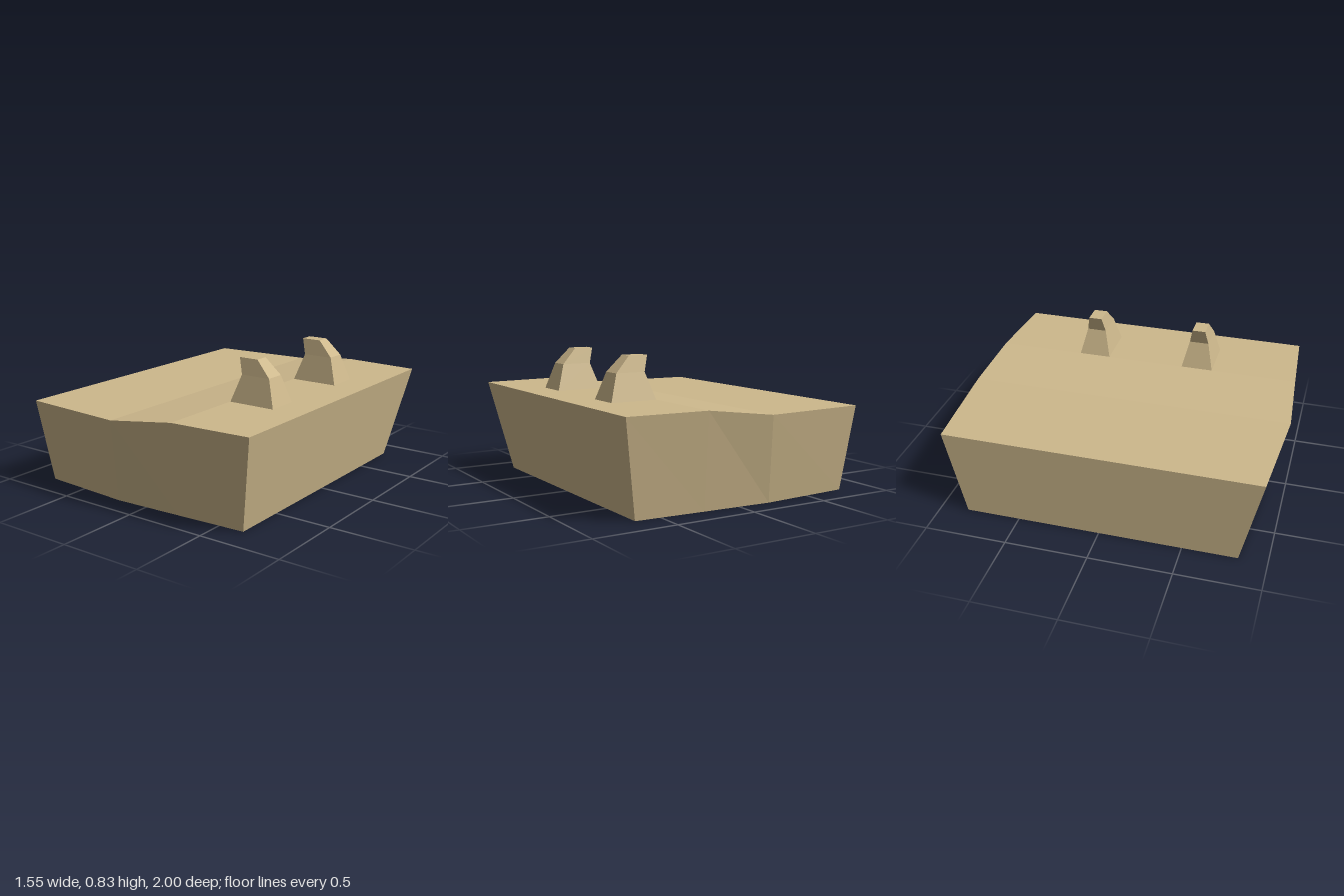
import * as THREE from 'three';

// Skin a list of rings (each counter-clockwise about the direction of travel) and cap both ends
function loft(rings) {
  const pos = [];
  const quad = (a, b, c, d) => pos.push(...a, ...b, ...c, ...a, ...c, ...d);
  for (let r = 0; r < rings.length - 1; r++) {
    const a = rings[r], b = rings[r + 1];
    for (let i = 0; i < 4; i++) {
      const j = (i + 1) % 4;
      quad(a[i], a[j], b[j], b[i]);
    }
  }
  quad(...[...rings[0]].reverse());
  quad(...rings[rings.length - 1]);
  const geometry = new THREE.BufferGeometry();
  geometry.setAttribute('position', new THREE.Float32BufferAttribute(pos, 3));
  geometry.computeVertexNormals();
  return geometry;
}

export function createModel() {
  const group = new THREE.Group();
  const material = new THREE.MeshStandardMaterial({ color: 0xcdb88c, flatShading: true });

  // Slab: sections along x as [top x, bottom x, top y, top half width, bottom half width]
  const slabRings = [
    [-0.775, -0.775, 0.53, 0.95, 0.83],
    [-0.12, -0.2, 0.53, 1.0, 0.87],
    [0.29, 0.23, 0.58, 0.972, 0.847],
    [0.775, 0.655, 0.58, 0.942, 0.822],
  ].map(([xt, xb, y, zt, zb]) => [[xb, 0, zb], [xb, 0, -zb], [xt, y, -zt], [xt, y, zt]]);
  const slab = new THREE.Mesh(loft(slabRings), material);
  slab.name = 'slab';
  group.add(slab);

  // Hooked pegs: sections going up as [y, min x, max x, half width]
  const pegRings = [
    [0.575, 0.29, 0.585, 0.1],
    [0.74, 0.345, 0.53, 0.06],
    [0.835, 0.317, 0.438, 0.041],
  ].map(([y, x0, x1, z]) => [[x0, y, z], [x1, y, z], [x1, y, -z], [x0, y, -z]]);
  const pegGeometry = loft(pegRings);
  for (const [name, z] of [['frontPeg', 0.34], ['backPeg', -0.343]]) {
    const peg = new THREE.Mesh(pegGeometry, material);
    peg.name = name;
    peg.position.z = z;
    group.add(peg);
  }
  return group;
}
